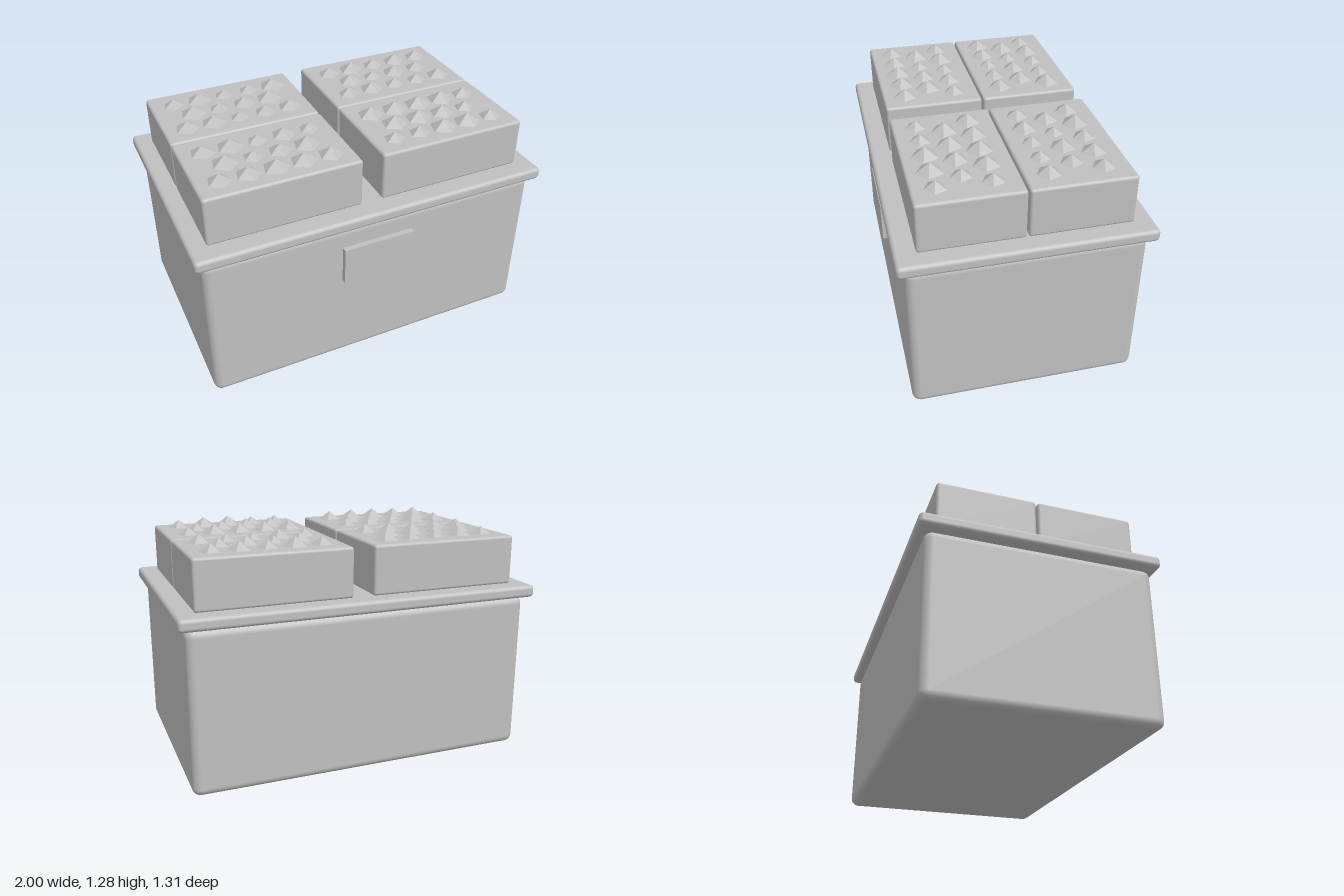
import * as THREE from 'three';
import { RoundedBoxGeometry } from 'three/addons/geometries/RoundedBoxGeometry.js';

export function createModel() {
  const group = new THREE.Group();
  const grey = new THREE.MeshStandardMaterial({ color: 0xc0c0c0 });
  grey.name = 'grey';

  const add = (name, geometry, x, y, z, parent = group) => {
    const mesh = new THREE.Mesh(geometry, grey);
    mesh.name = name;
    mesh.position.set(x, y, z);
    parent.add(mesh);
    return mesh;
  };

  // Box body, overhanging lid and front label plate
  add('body', new RoundedBoxGeometry(1.92, 0.895, 1.23, 4, 0.045), 0, 0.4475, 0);
  add('lid', new RoundedBoxGeometry(2, 0.068, 1.31, 4, 0.022), 0, 0.929, 0);
  add('frontPlate', new THREE.BoxGeometry(0.41, 0.22, 0.04), 0, 0.66, 0.625);

  // Unit five-sided faceted stud with its base at y = 0
  const stud = new THREE.ConeGeometry(1, 0.69, 5, 1).toNonIndexed();
  stud.translate(0, 0.345, 0);
  stud.rotateY(0.1);
  stud.computeVertexNormals();

  // Four blocks, each with three staggered rows of studs (radii in thousandths)
  const blocks = [
    { name: 'backRightBlock', x: -0.4825, z: -0.28,
      rows: [[59, 70, 56, 56, 75], [75, 56, 67, 73], [68, 70, 54, 62, 69]] },
    { name: 'backLeftBlock', x: 0.4775, z: -0.28,
      rows: [[64, 75, 62, 69, 64], [69, 54, 69, 62], [62, 70, 56, 56, 67]] },
    { name: 'frontRightBlock', x: -0.4825, z: 0.273,
      rows: [[69, 75, 56, 67, 59], [75, 55, 67, 75], [67, 69, 75, 75, 69]] },
    { name: 'frontLeftBlock', x: 0.4775, z: 0.273,
      rows: [[75, 75, 75, 75, 62], [75, 75, 69, 59], [59, 59, 75, 75, 62]] },
  ];
  for (const { name, x, z, rows } of blocks) {
    const block = new THREE.Group();
    block.name = name;
    block.position.set(x, 0.96, z);
    group.add(block);
    add('blockBase', new RoundedBoxGeometry(0.845, 0.273, 0.544, 4, 0.016), 0, 0.1365, 0, block);
    rows.forEach((row, r) => row.forEach((size, c) => {
      const sx = (c - (row.length - 1) / 2) * 0.148;
      const mesh = add('stud', stud, sx, 0.272, (r - 1) * 0.14 + 0.008, block);
      mesh.scale.setScalar(size / 1000);
    }));
  }
  return group;
}
